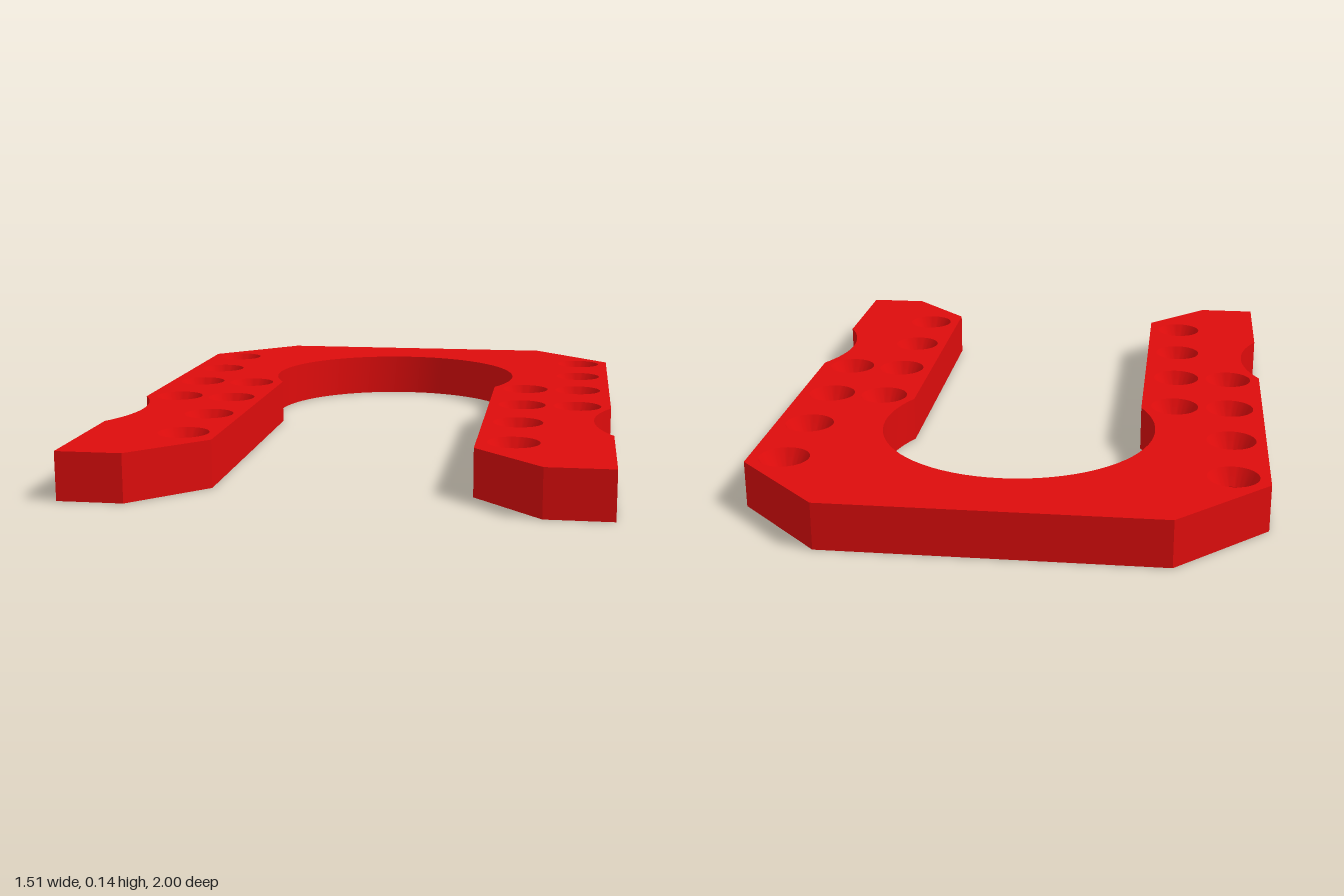
import * as THREE from 'three';
import { toCreasedNormals } from 'three/addons/utils/BufferGeometryUtils.js';

const THICK = 0.14;
const HOLE = 0.045, SINK = 0.075, SINK_DEPTH = 0.05;
const SEG = 24;

// Hole centres (x, z) on one arm; the other arm is mirrored
const HOLES = [
  ...[-0.69, -0.41, -0.13, 0.155].map(z => [0.65, z]),
  ...[-0.13, 0.155, 0.435, 0.715].map(z => [0.475, z]),
].flatMap(([x, z]) => [[x, z], [-x, z]]);

// Horseshoe outline, drawn with shape y = -z
function outline() {
  const s = new THREE.Shape();
  const a = Math.PI / 6, b = Math.atan2(0.2, 0.37);
  s.moveTo(0.565, -1);
  s.lineTo(0.755, -1);
  s.absarc(1.11, -0.385, 0.41, Math.PI + a, Math.PI - a, true); // side notch
  s.lineTo(0.755, 0.74);
  s.lineTo(0.49, 1);
  s.lineTo(-0.49, 1);
  s.lineTo(-0.755, 0.74);
  s.absarc(-1.11, -0.385, 0.41, a, -a, true); // side notch
  s.lineTo(-0.755, -1);
  s.lineTo(-0.565, -1);
  s.lineTo(-0.37, -0.8);
  s.absarc(0, 0.355, 0.42, Math.PI + b, -b, true); // round inner opening
  s.lineTo(0.37, -0.8);
  return s;
}

// Flat face pierced by all holes of the given radius, facing up
function face(radius) {
  const s = outline();
  for (const [x, z] of HOLES) {
    s.holes.push(new THREE.Path().absarc(x, -z, radius, 0, Math.PI * 2, false));
  }
  return new THREE.ShapeGeometry(s, SEG).rotateX(-Math.PI / 2);
}

// Vertical wall along the outline
function wall() {
  const pts = outline().extractPoints(SEG).shape;
  const pos = [];
  pts.forEach((p, i) => {
    const q = pts[(i + 1) % pts.length];
    if (p.distanceTo(q) < 1e-6) return;
    pos.push(p.x, 0, -p.y, q.x, 0, -q.y, q.x, THICK, -q.y);
    pos.push(p.x, 0, -p.y, q.x, THICK, -q.y, p.x, THICK, -p.y);
  });
  const g = new THREE.BufferGeometry();
  g.setAttribute('position', new THREE.Float32BufferAttribute(pos, 3));
  return toCreasedNormals(g, 0.4);
}

export function createModel() {
  const group = new THREE.Group();
  group.name = 'horseshoePlate';
  const red = new THREE.MeshStandardMaterial({ color: 0xdd0c0c });
  const add = (name, geometry) => {
    const mesh = new THREE.Mesh(geometry, red);
    mesh.name = name;
    group.add(mesh);
    return mesh;
  };

  add('topFace', face(SINK).translate(0, THICK, 0));
  add('bottomFace', face(HOLE).rotateZ(Math.PI)); // symmetric in x, so a half turn flips it
  add('outerWall', wall());

  // Countersunk screw holes, profile running downward so the surface faces inward
  const profile = [[SINK, THICK], [HOLE, THICK - SINK_DEPTH], [HOLE, 0]]
    .map(([r, y]) => new THREE.Vector2(r, y));
  const bore = toCreasedNormals(new THREE.LatheGeometry(profile, SEG * 2), 0.4);
  for (const [x, z] of HOLES) add('screwHole', bore).position.set(x, 0, z);

  return group;
}
